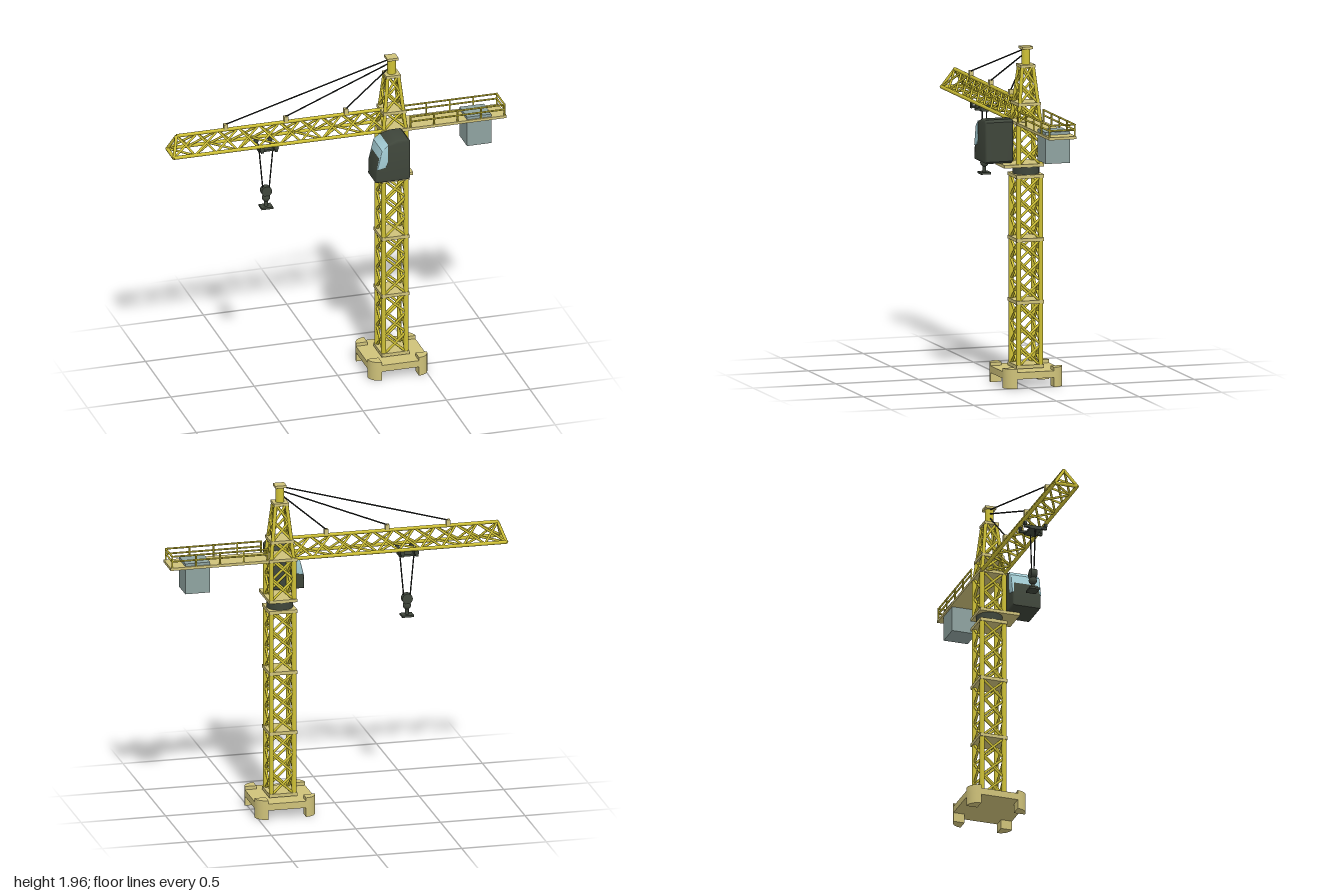
import * as THREE from 'three';
import { toCreasedNormals } from 'three/addons/utils/BufferGeometryUtils.js';

const mat = (name, color) => new THREE.MeshStandardMaterial({ name, color });
const V = (x, y, z) => new THREE.Vector3(x, y, z);

export function createModel() {
  const yellow = mat('yellow paint', 0xd0c236);
  const tan = mat('pale yellow plate', 0xcfc27a);
  const dark = mat('dark green grey', 0x3f463b);
  const black = mat('black cable', 0x232523);
  const grey = mat('counterweight grey', 0x8fa3a0);
  const glass = mat('window glass', 0xa6d0d8);

  const model = new THREE.Group();
  model.name = 'towerCrane';
  const TX = 0.334, TZ = -0.038; // tower axis

  const group = (name, x = 0) => {
    const g = new THREE.Group();
    g.name = name;
    g.position.set(x, 0, TZ);
    model.add(g);
    return g;
  };
  const add = (g, name, geo, m, x = 0, y = 0, z = 0) => {
    const mesh = new THREE.Mesh(geo, m);
    mesh.name = name;
    mesh.position.set(x, y, z);
    g.add(mesh);
    return mesh;
  };
  const box = (g, name, m, w, h, d, x, y, z = 0) => add(g, name, new THREE.BoxGeometry(w, h, d), m, x, y, z);
  // round bar between two points
  const bar = (g, name, m, a, b, r) => {
    const mesh = add(g, name, new THREE.CylinderGeometry(r, r, a.distanceTo(b), 8), m);
    mesh.position.copy(a).lerp(b, 0.5);
    mesh.quaternion.setFromUnitVectors(V(0, 1, 0), b.clone().sub(a).normalize());
  };
  // n crossed panels between chord a0-a1 and chord b0-b1
  const lattice = (g, a0, a1, b0, b1, n, r) => {
    for (let i = 0; i < n; i++) {
      const s = i / n, t = (i + 1) / n;
      bar(g, 'brace', yellow, a0.clone().lerp(a1, s), b0.clone().lerp(b1, t), r);
      bar(g, 'brace', yellow, b0.clone().lerp(b1, s), a0.clone().lerp(a1, t), r);
    }
  };
  // four legs with braced sides, tapering from half width h0 to h1
  const mast = (g, y0, y1, h0, h1, n, r) => {
    const corners = [[-1, -1], [1, -1], [1, 1], [-1, 1]];
    corners.forEach(([x, z], i) => {
      const [u, w] = corners[(i + 1) % 4];
      const a0 = V(x * h0, y0, z * h0), a1 = V(x * h1, y1, z * h1);
      bar(g, 'leg', yellow, a0, a1, r);
      lattice(g, a0, a1, V(u * h0, y0, w * h0), V(u * h1, y1, w * h1), n, 0.0075);
    });
  };

  // Base slab with four rounded corner feet
  const base = group('base', TX);
  const H = 0.178, F = 0.067;
  const upright = (shape, depth) => toCreasedNormals(
    new THREE.ExtrudeGeometry(shape, { depth, bevelEnabled: false, curveSegments: 8 }).rotateX(-Math.PI / 2), 0.6);
  const slab = new THREE.Shape();
  slab.moveTo(H, H - F);
  for (let i = 0; i < 4; i++) {
    const a = i * Math.PI / 2, k = H - F;
    const cx = i === 0 || i === 3 ? k : -k, cy = i < 2 ? k : -k;
    slab.absarc(cx, cy, F, a, a + Math.PI / 2, false);
  }
  add(base, 'baseSlab', upright(slab, 0.04), tan, 0, 0.055, 0);
  const foot = new THREE.Shape();
  foot.moveTo(H - F, H - F);
  foot.lineTo(H, H - F);
  foot.absarc(H - F, H - F, F, 0, Math.PI / 2, false);
  const footGeo = upright(foot, 0.115);
  for (let i = 0; i < 4; i++) add(base, 'foot', footGeo, tan).rotation.y = i * Math.PI / 2;

  // Main mast in three sections
  const tower = group('mast', TX);
  const levels = [0.11, 0.483, 0.845, 1.213];
  levels.forEach((y, i) => {
    box(tower, 'collar', tan, 0.166, 0.02, 0.166, 0, y);
    if (i < 3) mast(tower, y, levels[i + 1], 0.067, 0.067, 3, 0.0145);
  });

  // Slewing ring, cab deck and upper mast
  const top = group('upperMast', TX);
  add(top, 'slewingRing', new THREE.CylinderGeometry(0.077, 0.077, 0.045, 24), dark, 0, 1.246, 0);
  box(top, 'cabDeck', tan, 0.166, 0.018, 0.24, 0, 1.277, 0.037);
  mast(top, 1.28, 1.53, 0.067, 0.067, 2, 0.0145);
  box(top, 'collar', tan, 0.166, 0.018, 0.166, 0, 1.523);
  mast(top, 1.53, 1.85, 0.066, 0.032, 3, 0.011);
  box(top, 'collar', tan, 0.138, 0.018, 0.138, 0, 1.63);
  box(top, 'peakPlate', tan, 0.088, 0.016, 0.088, 0, 1.848);
  add(top, 'peakPost', new THREE.CylinderGeometry(0.025, 0.025, 0.1, 16), yellow, 0, 1.9, 0);
  box(top, 'peakCap', tan, 0.066, 0.015, 0.066, 0, 1.952);

  // Triangular lattice jib
  const jib = group('jib');
  const apex = [V(-0.955, 1.632, 0), V(0.28, 1.632, 0)];
  const sides = [-1, 1].map(s => [V(-0.99, 1.527, s * 0.068), V(0.28, 1.527, s * 0.068)]);
  bar(jib, 'topChord', yellow, ...apex, 0.011);
  sides.forEach(s => {
    bar(jib, 'bottomChord', yellow, ...s, 0.011);
    bar(jib, 'endBar', yellow, s[0], apex[0], 0.009);
    lattice(jib, s[0], s[1], apex[0], apex[1], 10, 0.0068);
  });
  bar(jib, 'endBar', yellow, sides[0][0], sides[1][0], 0.011);
  for (let i = 0; i < 10; i++) {
    const a = sides[i % 2], b = sides[(i + 1) % 2];
    bar(jib, 'floorBrace', yellow, a[0].clone().lerp(a[1], i / 10), b[0].clone().lerp(b[1], (i + 1) / 10), 0.0068);
  }

  // Saddles and stay cables
  [[-0.66, 1.945], [-0.3, 1.92], [0.06, 1.895]].forEach(([x, y]) => {
    box(jib, 'saddle', tan, 0.024, 0.032, 0.024, x, 1.652);
    bar(jib, 'stayCable', black, V(x, 1.665, 0), V(0.325, y, 0), 0.0042);
  });

  // Counter jib with handrails and counterweight
  const counter = group('counterJib');
  box(counter, 'deck', tan, 0.625, 0.016, 0.165, 0.6875, 1.523);
  box(counter, 'counterweight', grey, 0.146, 0.183, 0.146, 0.838, 1.456);
  for (const z of [-0.077, 0.077]) {
    for (let i = 0; i < 5; i++) bar(counter, 'railPost', yellow, V(0.425 + i * 0.141, 1.53, z), V(0.425 + i * 0.141, 1.602, z), 0.0055);
    for (const y of [1.568, 1.598]) bar(counter, 'handrail', yellow, V(0.42, y, z), V(0.993, y, z), 0.0055);
  }
  for (const y of [1.568, 1.598]) bar(counter, 'endRail', yellow, V(0.989, y, -0.077), V(0.989, y, 0.077), 0.0055);

  // Operator cab
  const cab = group('cab');
  const extrude = (pts, depth, bevel) => toCreasedNormals(new THREE.ExtrudeGeometry(
    new THREE.Shape(pts.map(p => new THREE.Vector2(...p))),
    { depth: depth - 2 * bevel, bevelEnabled: bevel > 0, bevelSize: bevel, bevelOffset: -bevel, bevelThickness: bevel, bevelSegments: 3 }), 0.6);
  add(cab, 'cabBody', extrude([[0.165, 1.29], [0.36, 1.29], [0.372, 1.302], [0.372, 1.53], [0.358, 1.545],
    [0.29, 1.545], [0.235, 1.525], [0.2, 1.492], [0.167, 1.37]], 0.17, 0.012), dark, 0, 0, 0.099);
  add(cab, 'cabWindow', extrude([[0.17, 1.374], [0.222, 1.384], [0.236, 1.42], [0.236, 1.526], [0.199, 1.494]],
    0.174, 0.004), glass, 0, 0, 0.089);

  // Trolley, hoist ropes and hook block
  const hoist = group('trolleyAndHook', -0.418);
  box(hoist, 'trolleyPlate', dark, 0.106, 0.012, 0.07, 0, 1.481);
  for (const s of [-1, 1]) {
    box(hoist, 'trolleyBeam', dark, 0.016, 0.014, 0.14, s * 0.042, 1.49);
    for (const z of [-0.062, 0.062])
      add(hoist, 'trolleyWheel', new THREE.CylinderGeometry(0.014, 0.014, 0.014, 12).rotateX(Math.PI / 2), dark, s * 0.042, 1.505, z);
    bar(hoist, 'hoistRope', black, V(s * 0.042, 1.48, 0), V(s * 0.018, 1.215, 0), 0.004);
  }
  add(hoist, 'pulley', new THREE.CylinderGeometry(0.031, 0.031, 0.036, 20).rotateX(Math.PI / 2), dark, 0, 1.212, 0);
  add(hoist, 'hookBall', new THREE.SphereGeometry(0.024, 16, 12), dark, 0, 1.17, 0);
  add(hoist, 'hookShank', new THREE.CylinderGeometry(0.011, 0.011, 0.06, 12), dark, 0, 1.138, 0);
  box(hoist, 'hookPlate', dark, 0.07, 0.012, 0.06, 0, 1.111);

  return model;
}
